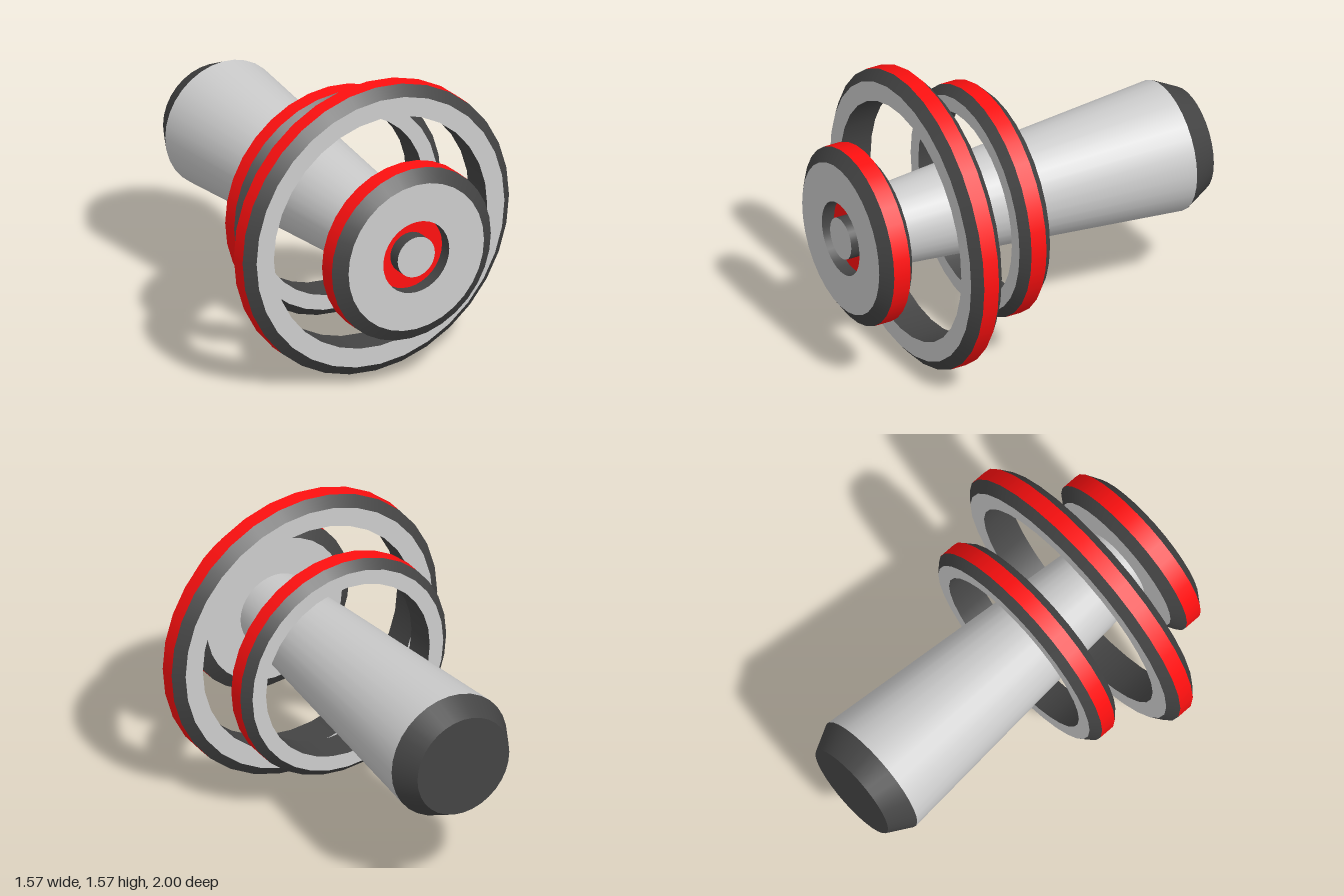
import * as THREE from 'three';

const grey = new THREE.MeshStandardMaterial({ color: 0xcccccc });
const dark = new THREE.MeshStandardMaterial({ color: 0x444444 });
const red = new THREE.MeshStandardMaterial({ color: 0xff1010 });

// Group of lathed bands turned around the z axis.
// The profile runs counterclockwise as [radius, z]; each step has its own material and sharp ends.
function turned(name, profile, bands) {
  const group = new THREE.Group();
  group.name = name;
  bands.forEach(([material, label], i) => {
    const points = [profile[i], profile[i + 1]].map(([r, z]) => new THREE.Vector2(r, z));
    const mesh = new THREE.Mesh(new THREE.LatheGeometry(points, 32), material);
    mesh.name = label;
    mesh.rotation.x = Math.PI / 2;
    group.add(mesh);
  });
  return group;
}

// Bevelled ring: red rim, dark bevels and bore, grey faces
function ring(name, outer, face, inner, zBack, zFront, bevel) {
  return turned(name, [
    [inner, zBack], [face, zBack], [outer, zBack + bevel], [outer, zFront - bevel],
    [face, zFront], [inner, zFront], [inner, zBack],
  ], [
    [grey, 'backFace'], [dark, 'backBevel'], [red, 'rim'],
    [dark, 'frontBevel'], [grey, 'frontFace'], [dark, 'bore'],
  ]);
}

export function createModel() {
  const model = new THREE.Group();
  model.name = 'ringedShaft';
  const body = new THREE.Group();
  body.name = 'body';
  body.position.y = 0.787;
  model.add(body);

  // Tapered shaft with a dark bevelled tail
  body.add(turned('shaft',
    [[0, -1], [0.272, -1], [0.342, -0.865], [0.2, 0.83]],
    [[dark, 'tailCap'], [dark, 'tailBevel'], [grey, 'taper']]));

  // Two free rings around the shaft
  body.add(ring('rearRing', 0.61, 0.565, 0.485, 0.107, 0.283, 0.045));
  body.add(ring('largeRing', 0.787, 0.732, 0.63, 0.478, 0.655, 0.046));

  // Front disc with a recess, red recess floor and a central pin
  body.add(turned('frontDisc', [
    [0, 0.81], [0.4, 0.81], [0.47, 0.858], [0.47, 0.952], [0.4, 1],
    [0.195, 1], [0.195, 0.93], [0.11, 0.93], [0.11, 1], [0, 1],
  ], [
    [grey, 'backFace'], [dark, 'backBevel'], [red, 'rim'], [dark, 'frontBevel'],
    [grey, 'frontFace'], [dark, 'recessWall'], [red, 'recessFloor'],
    [dark, 'pinSide'], [grey, 'pinCap'],
  ]));

  return model;
}
